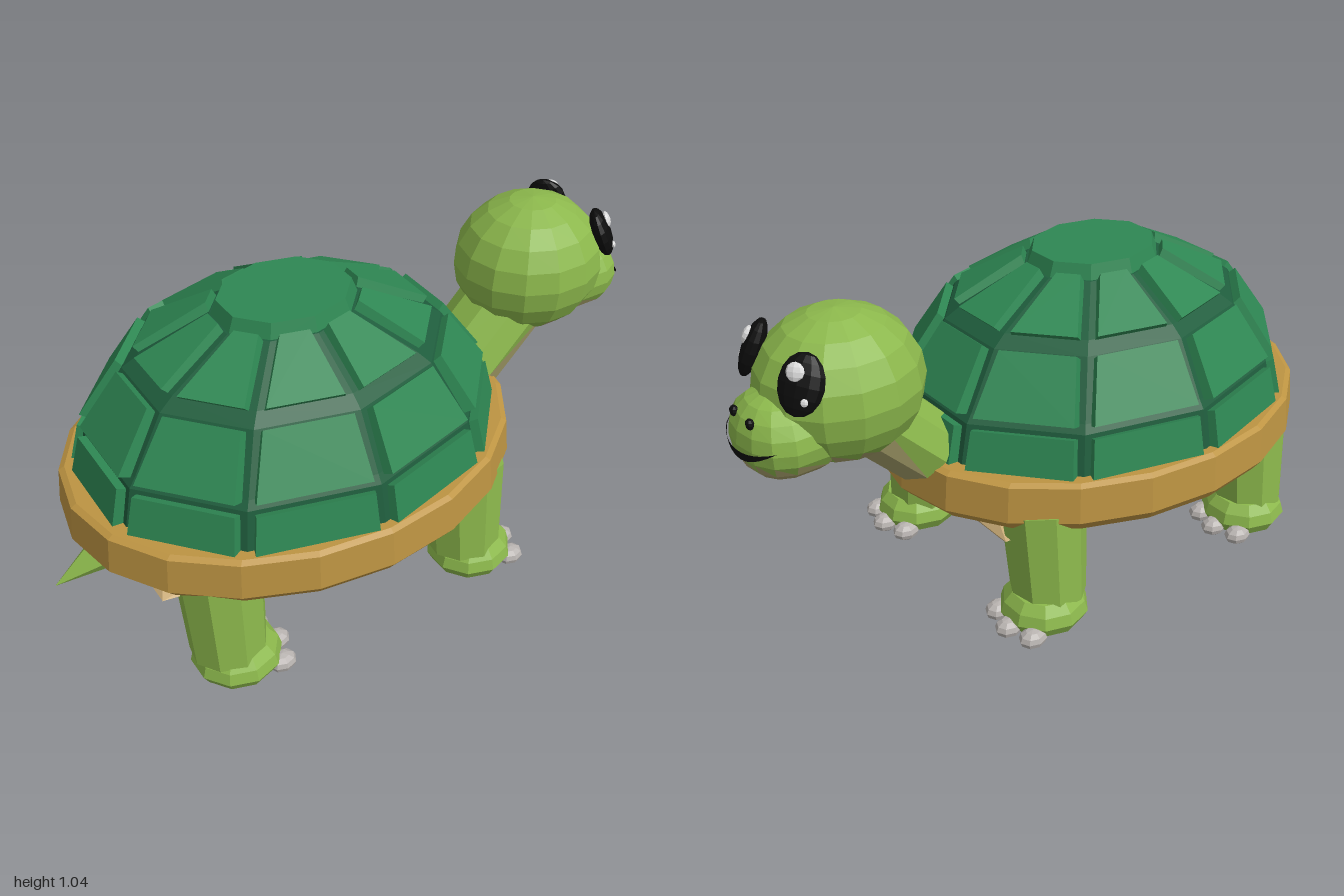
import * as THREE from 'three';
import { ConvexGeometry } from 'three/addons/geometries/ConvexGeometry.js';

const mat = (name, color, extra = {}) => {
  const m = new THREE.MeshStandardMaterial({ color, flatShading: true, ...extra });
  m.name = name;
  return m;
};
const skin = mat('skin green', 0x8cb84c);
const throat = mat('throat khaki', 0xa39c68);
const plate = mat('shell green', 0x2e8753);
const groove = mat('groove dark green', 0x1f5d3d);
const rimTan = mat('rim ochre', 0xbd9442);
const bellyTan = mat('belly tan', 0xc8aa76);
const black = mat('black', 0x0c0c0c, { side: THREE.DoubleSide });
const claw = mat('claw grey', 0xb8b3b0);
const glint = mat('eye glint', 0xdadada);

const V = (x, y, z) => new THREE.Vector3(x, y, z);
const CX = -0.215, RX = 0.68, RZ = 0.56; // shell centre and radii

function add(parent, name, geo, material, pos, scale) {
  const m = new THREE.Mesh(geo, material);
  m.name = name;
  if (pos) m.position.set(...pos);
  if (scale) m.scale.set(...scale);
  parent.add(m);
  return m;
}

// tapered tube between two points
function limb(a, b, ra, rb, sides) {
  const d = b.clone().sub(a);
  const g = new THREE.CylinderGeometry(rb, ra, d.length(), sides);
  g.applyQuaternion(new THREE.Quaternion().setFromUnitVectors(V(0, 1, 0), d.normalize()));
  return g.translate((a.x + b.x) / 2, (a.y + b.y) / 2, (a.z + b.z) / 2);
}

// sorts triangles into two material groups by the position of their centre
function split(geo, test) {
  const g = geo.index ? geo.toNonIndexed() : geo;
  const p = g.attributes.position;
  g.clearGroups();
  for (let i = 0; i < p.count; i += 3) {
    const c = V(0, 0, 0);
    for (let k = 0; k < 3; k++) c.add(V(p.getX(i + k), p.getY(i + k), p.getZ(i + k)));
    g.addGroup(i, 3, test(c.divideScalar(3)) ? 1 : 0);
  }
  return g;
}

function buildShell(root) {
  const shell = new THREE.Group();
  shell.name = 'shell';
  root.add(shell);
  const lathe = (pts, sides) =>
    new THREE.LatheGeometry(pts.map(p => new THREE.Vector2(...p)), sides);

  add(shell, 'shellCore', lathe([[0, 0.41], [0.95, 0.41], [0.95, 0.5], [0.9, 0.645], [0.87, 0.67],
    [0.71, 0.83], [0.64, 0.86], [0.33, 0.955], [0, 0.97]], 10), groove, [CX, 0, 0], [RX, 1, RZ]);
  add(shell, 'shellRim', lathe([[0.86, 0.41], [0.88, 0.37], [0.955, 0.37], [1, 0.405], [0.985, 0.515],
    [0.96, 0.525], [0.8, 0.525]], 20), rimTan, [CX, 0, 0], [0.715, 1, 0.575]);
  add(shell, 'topPlate', new THREE.CylinderGeometry(0.295, 0.33, 0.06, 10), plate, [CX, 0.97, 0], [RX, 1, RZ]);

  // three rings of ten bevelled plates: [radius, y] of the lower and upper edge
  const rings = [[[1, 0.5], [0.945, 0.64]], [[0.93, 0.675], [0.75, 0.84]], [[0.67, 0.875], [0.35, 0.98]]];
  const corner = ([k, y], i, s) => {
    const a = (i * Math.PI) / 5;
    return V(k * s * RX * Math.sin(a), 0.45 + (y - 0.45) * s, k * s * RZ * Math.cos(a));
  };
  rings.forEach((edges, r) => {
    for (let i = 0; i < 10; i++) {
      const pts = [];
      for (const [s, gap] of [[1, 0.03], [0.92, 0.012]]) {
        edges.forEach(e => {
          const a = corner(e, i, s), b = corner(e, i + 1, s);
          const t = gap / a.distanceTo(b);
          pts.push(a.clone().lerp(b, t), b.clone().lerp(a, t));
        });
      }
      add(shell, `shellPlate${r + 1}_${i + 1}`, new ConvexGeometry(pts), plate, [CX, 0, 0]);
    }
  });
}

function buildBody(root) {
  add(root, 'body', new THREE.SphereGeometry(1, 16, 8), skin, [CX, 0.4, 0], [0.6, 0.075, 0.47]);
  // belly plate: stations [x, y, half width] mirrored across z
  const pts = [];
  for (const [x, y, w] of [[0.31, 0.36, 0.2], [0.35, 0.32, 0.31], [0.32, 0.28, 0.25],
    [0.1, 0.36, 0.27], [0.1, 0.32, 0.33], [0.08, 0.23, 0.18],
    [-0.5, 0.36, 0.27], [-0.5, 0.32, 0.33], [-0.48, 0.23, 0.18],
    [-0.75, 0.355, 0.2], [-0.79, 0.32, 0.28], [-0.76, 0.275, 0.22]]) {
    pts.push(V(x, y, w), V(x, y, -w));
  }
  add(root, 'bellyPlate', new ConvexGeometry(pts), bellyTan);
  add(root, 'tail', limb(V(-0.76, 0.35, 0), V(-1, 0.257, 0), 0.085, 0.001, 7), skin);
}

function buildLegs(root) {
  const footProfile = [[0, 0], [0.07, 0.005], [0.115, 0.03], [0.135, 0.065], [0.125, 0.1], [0.1, 0.13], [0, 0.135]]
    .map(p => new THREE.Vector2(...p));
  for (const [end, x] of [['front', 0.235], ['rear', -0.605]]) {
    for (const [side, s] of [['Left', 1], ['Right', -1]]) {
      // left and right as seen facing the head end
      const leg = new THREE.Group();
      leg.name = `${end}Leg${side}`;
      root.add(leg);
      add(leg, 'shin', limb(V(x - 0.02, 0.1, s * 0.335), V(x - 0.02, 0.41, s * 0.305), 0.115, 0.13, 9), skin);
      add(leg, 'foot', new THREE.LatheGeometry(footProfile, 10), skin, [x, 0, s * 0.34]);
      for (const [dx, dz] of [[0.105, -0.083], [0.13, 0], [0.105, 0.083]]) {
        add(leg, 'toe', new THREE.SphereGeometry(1, 8, 6), claw,
          [x + dx, 0.04, s * 0.34 + dz], [0.045, 0.03, 0.037]);
      }
    }
  }
}

function buildHead(root) {
  const head = new THREE.Group();
  head.name = 'head';
  root.add(head);

  // neck with a pale throat
  const neck = limb(V(0, 0, 0), V(0.21, 0.21, 0), 0.117, 0.117, 10)
    .scale(1, 1, 1.24).translate(0.433, 0.539, 0);
  add(head, 'neck', split(neck, c => c.x - c.y + 0.106 > 0.04), [skin, throat]);

  const skull = new THREE.SphereGeometry(1, 14, 10).scale(0.24, 0.218, 0.227).translate(0.67, 0.82, 0);
  add(head, 'skull', split(skull, c => c.y < 0.67 && c.x > 0.6), [skin, throat]);

  // blunt snout
  const S = { x: 0.835, y: 0.735, rx: 0.15, ry: 0.127, rz: 0.155 };
  const blunt = u => Math.sign(u) * Math.pow(Math.abs(u), 0.7);
  const snout = new THREE.SphereGeometry(1, 14, 10);
  const p = snout.attributes.position;
  for (let i = 0; i < p.count; i++) p.setX(i, blunt(p.getX(i)));
  snout.scale(S.rx, S.ry, S.rz).translate(S.x, S.y, 0);
  add(head, 'snout', split(snout, c => c.y < 0.675), [skin, throat]);
  const snoutX = (y, z) =>
    S.x + S.rx * blunt(Math.sqrt(Math.max(0, 1 - ((y - S.y) / S.ry) ** 2 - (z / S.rz) ** 2)));

  // smiling mouth: a thin crescent that follows the snout
  const N = 14, pos = [], idx = [];
  for (let i = 0; i <= N; i++) {
    const t = (i / N) * 2 - 1, z = -t * 0.132, bow = 1 - t * t;
    for (const y of [0.748 - 0.022 * bow, 0.748 - 0.05 * bow]) pos.push(snoutX(y, z) + 0.006, y, z);
    if (i < N) idx.push(2 * i, 2 * i + 1, 2 * i + 2, 2 * i + 1, 2 * i + 3, 2 * i + 2);
  }
  const mouth = new THREE.BufferGeometry();
  mouth.setAttribute('position', new THREE.Float32BufferAttribute(pos, 3));
  mouth.setIndex(idx);
  mouth.computeVertexNormals();
  add(head, 'mouth', mouth, black);

  for (const s of [1, -1]) {
    add(head, 'nostril', new THREE.SphereGeometry(1, 8, 6), black,
      [snoutX(0.807, 0.045), 0.807, s * 0.045], [0.012, 0.016, 0.016]);

    // eye: flattened ball facing outwards, with two glints
    const eye = new THREE.Group();
    eye.name = s > 0 ? 'eyeLeft' : 'eyeRight';
    eye.position.set(0.848, 0.923, s * 0.132);
    eye.lookAt(0.848 + 0.72, 0.923 + 0.38, s * (0.132 + 0.55));
    head.add(eye);
    const ball = add(eye, 'eyeball', new THREE.SphereGeometry(1, 12, 8), black, null, [0.065, 0.085, 0.03]);
    ball.rotation.z = s * 0.15;
    add(eye, 'largeGlint', new THREE.SphereGeometry(1, 8, 6), glint, [s * 0.008, 0.033, 0.026], [0.026, 0.026, 0.012]);
    add(eye, 'smallGlint', new THREE.SphereGeometry(1, 6, 5), glint, [s * -0.022, -0.042, 0.024], [0.011, 0.011, 0.008]);
  }
}

export function createModel() {
  const root = new THREE.Group();
  root.name = 'turtle';
  buildShell(root);
  buildBody(root);
  buildLegs(root);
  buildHead(root);
  return root;
}
